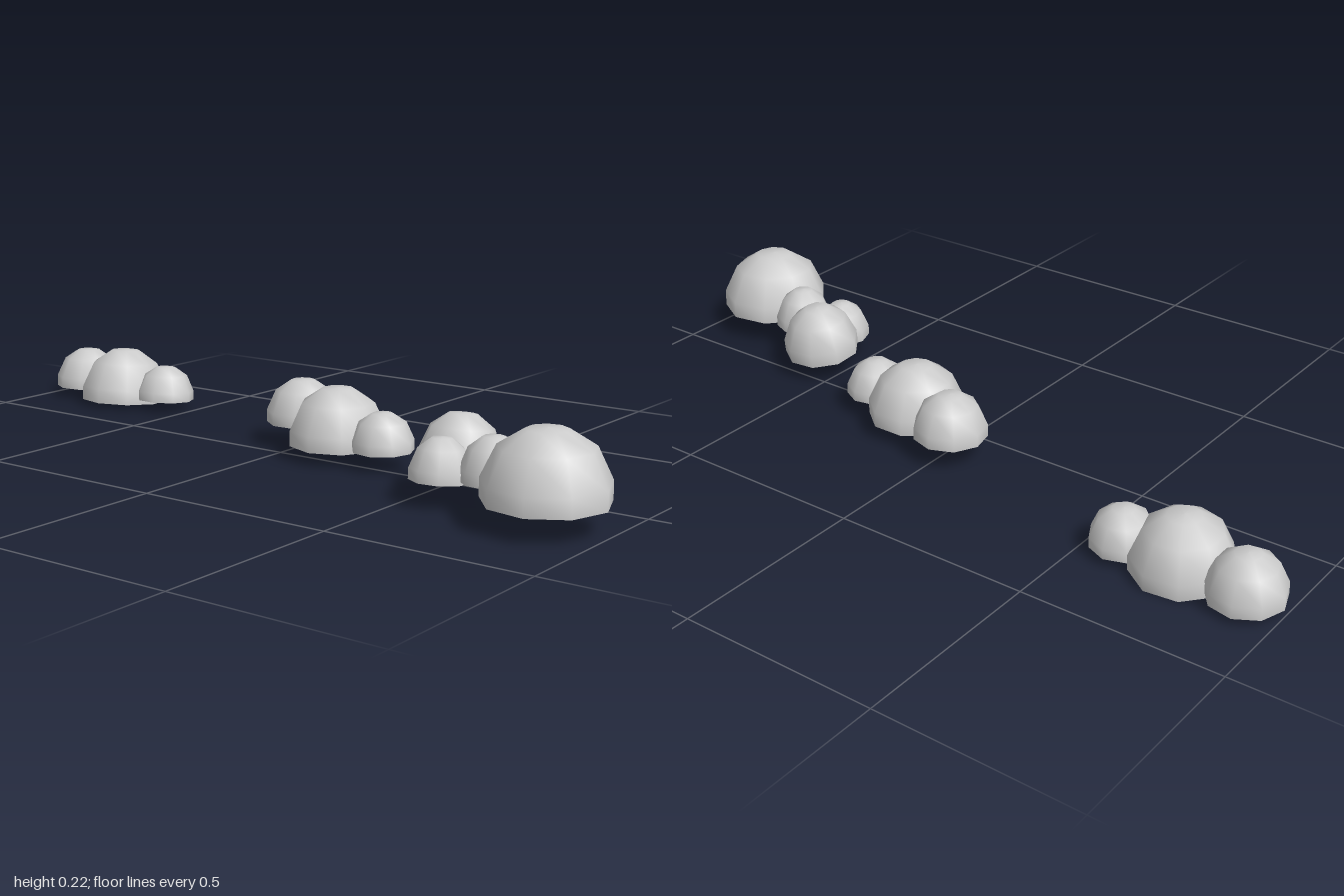
import * as THREE from 'three';

const material = new THREE.MeshStandardMaterial({ color: 0xcccccc, side: THREE.DoubleSide });

// Low-sided open dome of unit radius and unit height, with a short upright skirt
function domeGeometry() {
  const profile = [[1, 0], [1, 0.27], [0.75, 0.74], [0.33, 0.98], [0, 1]];
  return new THREE.LatheGeometry(profile.map(([r, y]) => new THREE.Vector2(r, y)), 9);
}

// Each dome: x, z, radius, base height, top height, forward tilt, spin
const clusters = {
  rightCluster: [
    [-0.91, -0.25, 0.092, 0.024, 0.135, -0.05, 0.5],
    [-0.74, -0.222, 0.122, 0.01, 0.155, -0.065, 0.1],
    [-0.592, -0.232, 0.08, 0.026, 0.12, -0.06, 0.3],
  ],
  middleCluster: [
    [-0.015, -0.114, 0.093, 0.06, 0.172, 0, 0.4],
    [0.143, -0.048, 0.123, 0.037, 0.18, 0.01, 0.0],
    [0.292, -0.025, 0.078, 0.047, 0.14, 0.02, 0.2],
  ],
  leftCluster: [
    [0.56, 0.063, 0.1, 0.06, 0.19, -0.12, 0.1],
    [0.578, 0.17, 0.072, 0.058, 0.156, -0.05, 0.5],
    [0.698, 0.145, 0.076, 0.068, 0.172, 0, 0.3],
    [0.86, 0.203, 0.143, 0.063, 0.223, 0.018, 0.175],
  ],
};

export function createModel() {
  const model = new THREE.Group();
  model.name = 'domeClusters';
  const geometry = domeGeometry();
  for (const [name, domes] of Object.entries(clusters)) {
    const group = new THREE.Group();
    group.name = name;
    domes.forEach(([x, z, r, base, top, tilt, spin], i) => {
      const dome = new THREE.Mesh(geometry, material);
      dome.name = `dome${i + 1}`;
      dome.scale.set(r, top - base, r);
      dome.rotation.set(tilt, spin, 0);
      dome.position.set(x, base, z);
      group.add(dome);
    });
    model.add(group);
  }
  return model;
}
